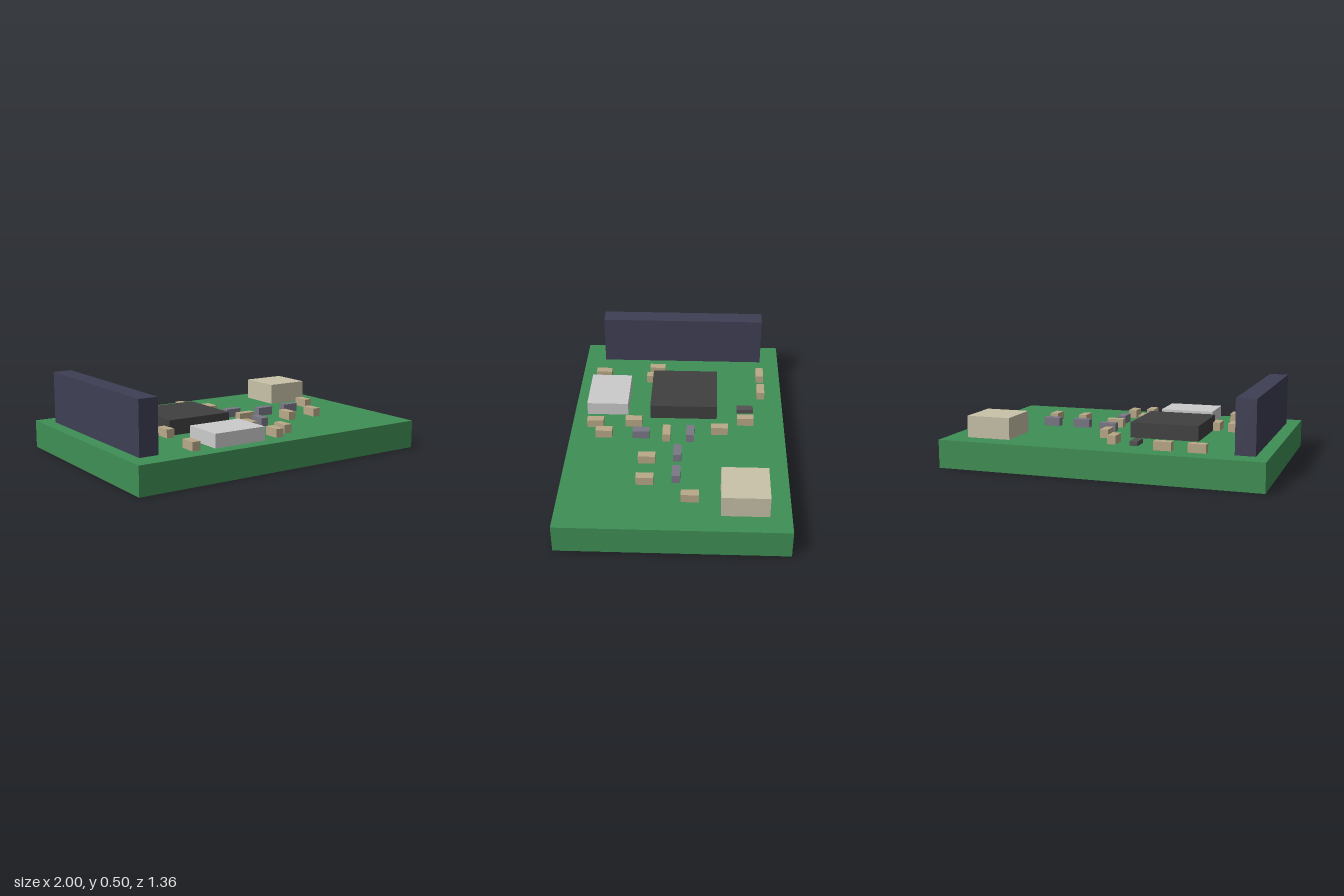
import * as THREE from 'three';

const TOP = 0.175; // height of the board's upper face

export function createModel() {
  const model = new THREE.Group();
  const mat = (color) => new THREE.MeshStandardMaterial({ color, flatShading: true });
  const green = mat(0x3f8f55), navy = mat(0x3f3f55), black = mat(0x404040), silver = mat(0xc4c4c6);
  const cream = mat(0xc8c2a8), tan = mat(0xb9a988), grey = mat(0x7a7885), dark = mat(0x525252);

  // Box given by its x, y and z extents
  function block(name, material, x0, x1, y0, y1, z0, z1) {
    const mesh = new THREE.Mesh(new THREE.BoxGeometry(x1 - x0, y1 - y0, z1 - z0), material);
    mesh.position.set((x0 + x1) / 2, (y0 + y1) / 2, (z0 + z1) / 2);
    mesh.name = name;
    model.add(mesh);
  }

  block('circuitBoard', green, -1, 1, 0, TOP, -0.682, 0.682);
  block('pinHeader', navy, -0.92, -0.8, TOP, 0.5, -0.555, 0.545);
  block('mainChip', black, -0.515, -0.085, TOP, 0.27, -0.25, 0.183);
  block('metalShield', silver, -0.462, -0.115, TOP, 0.26, 0.33, 0.597);
  block('cornerConnector', cream, 0.588, 0.868, TOP, 0.309, -0.555, -0.275);

  // Small surface-mounted parts: centres [x, z], lying along x or along z
  function chips(name, material, alongX, height, centres) {
    const hx = alongX ? 0.054 : 0.026, hz = alongX ? 0.025 : 0.053;
    for (const [x, z] of centres) {
      block(name, material, x - hx, x + hx, TOP, TOP + height, z - hz, z + hz);
    }
  }

  chips('capacitor', tan, true, 0.053, [[-0.585, -0.543], [-0.38, -0.543], [0.117, 0.068]]);
  chips('capacitor', tan, false, 0.053, [
    [-0.043, -0.434], [0.063, -0.267], [0.729, -0.095], [-0.642, 0.162], [-0.536, 0.178],
    [-0.008, 0.285], [-0.578, 0.53], [0.008, 0.53], [0.117, 0.465], [0.375, 0.178], [0.58, 0.178],
  ]);
  chips('resistor', grey, true, 0.053, [[0.117, -0.082], [0.322, -0.008], [0.529, -0.008]]);
  chips('resistor', grey, false, 0.053, [[0.117, 0.23]]);
  chips('diode', dark, false, 0.027, [[-0.182, -0.434]]);

  return model;
}
